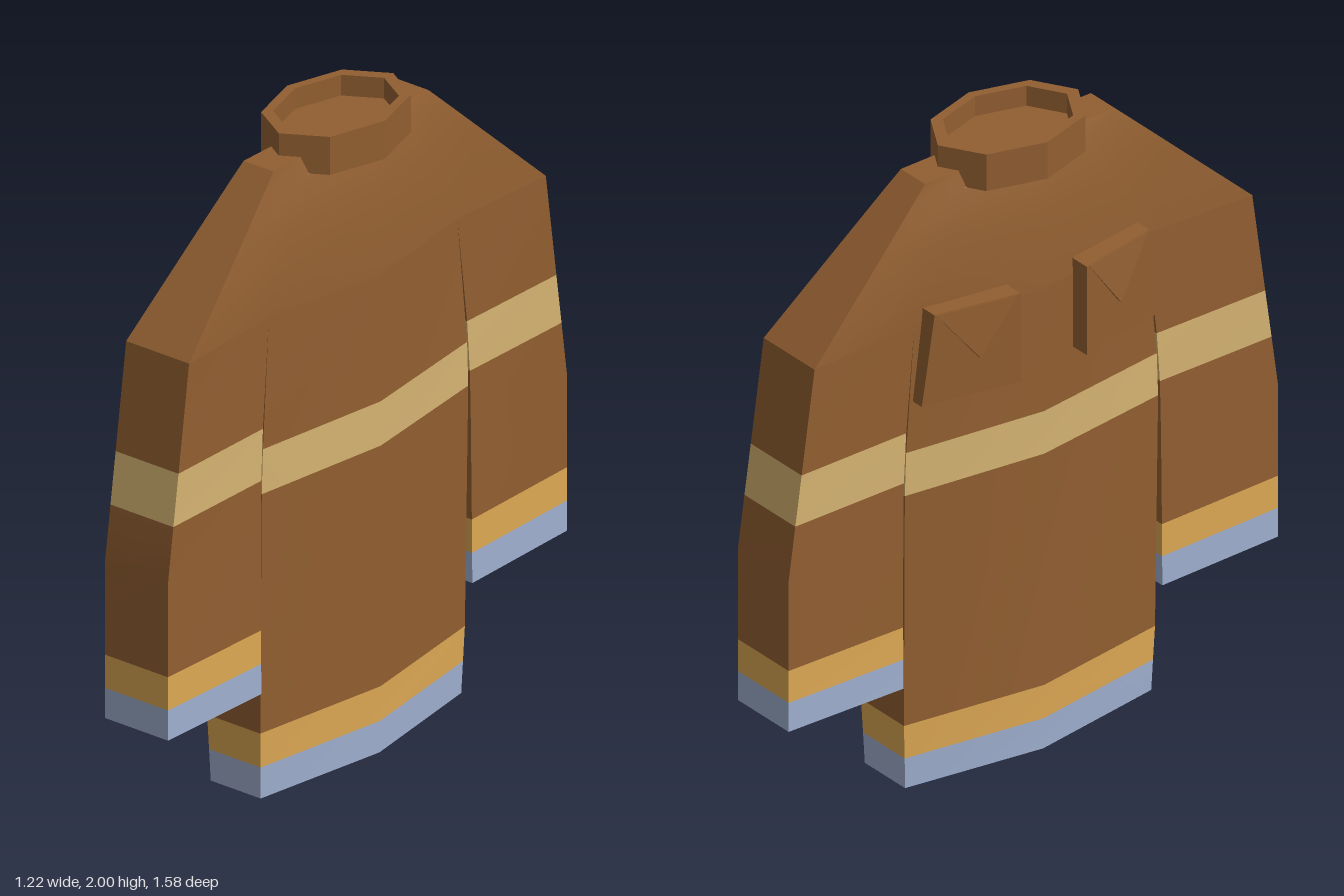
import * as THREE from 'three';
import { toCreasedNormals } from 'three/addons/utils/BufferGeometryUtils.js';

const mat = (name, color) => {
  const m = new THREE.MeshStandardMaterial({ color });
  m.name = name;
  return m;
};

// Skin a list of closed rings (counter-clockwise from above, bottom to top)
function loft(rings, capStart = false, capEnd = false) {
  const n = rings[0].length, idx = [];
  for (let r = 0; r < rings.length - 1; r++) {
    for (let i = 0; i < n; i++) {
      const a = r * n + i, b = r * n + (i + 1) % n;
      idx.push(a, b, b + n, a, b + n, a + n);
    }
  }
  const top = (rings.length - 1) * n;
  for (let i = 1; i < n - 1; i++) {
    if (capStart) idx.push(0, i + 1, i);
    if (capEnd) idx.push(top, top + i, top + i + 1);
  }
  const g = new THREE.BufferGeometry();
  g.setAttribute('position', new THREE.Float32BufferAttribute(rings.flat(2), 3));
  g.setIndex(idx);
  return toCreasedNormals(g, 0.5);
}

export function createModel() {
  const brown = mat('brown cloth', 0x925f31);
  const pale = mat('pale stripe', 0xd6b472);
  const amber = mat('amber stripe', 0xdea954);
  const blue = mat('blue trim', 0xa0b0d0);

  const model = new THREE.Group();
  model.name = 'jacket';
  const add = (parent, name, geometry, material) => {
    const m = new THREE.Mesh(geometry, material);
    m.name = name;
    parent.add(m);
    return m;
  };

  // One loft per colour, cut from consecutive rows
  const bands = [['trim', blue], ['lowerStripe', amber], ['lowerPanel', brown], ['upperStripe', pale], ['upperPanel', brown]];
  const addBands = (parent, prefix, rows, counts) => {
    let at = 0;
    bands.forEach(([label, material], i) => {
      add(parent, prefix + label, loft(rows.slice(at, at + counts[i] + 1)), material);
      at += counts[i];
    });
  };

  // Torso: six-sided sections, ridged at the middle of front and back
  const hexRing = (y, w, d, c) => [[w, y, d], [w, y, -d], [0, y, -c], [-w, y, -d], [-w, y, d], [0, y, c]];
  const torso = new THREE.Group();
  torso.name = 'torso';
  addBands(torso, 'torso ', [
    hexRing(0, 0.447, 0.092, 0.16),
    hexRing(0.1, 0.451, 0.095, 0.162),
    hexRing(0.21, 0.456, 0.098, 0.164),
    hexRing(0.97, 0.46, 0.107, 0.165),
    hexRing(1.11, 0.455, 0.107, 0.165),
    hexRing(1.51, 0.42, 0.1, 0.165),
  ], [1, 1, 1, 1, 1]);
  add(torso, 'torso lining', loft([
    hexRing(0.45, 0.4, 0.06, 0.12), hexRing(0, 0.4, 0.06, 0.12), hexRing(0, 0.447, 0.092, 0.16),
  ], true), brown);
  model.add(torso);

  // Sleeves: four-sided tubes, open at the cuff
  for (const s of [1, -1]) {
    const ring = (yo, yi, uo, ui, dOut, dIn) => {
      const p = [[s * uo, yo, dOut], [s * uo, yo, -dOut], [s * ui, yi, -dIn], [s * ui, yi, dIn]];
      return s > 0 ? p : p.reverse();
    };
    const sleeve = new THREE.Group();
    sleeve.name = s > 0 ? 'leftSleeve' : 'rightSleeve';
    const cuff = ring(0.355, 0.345, 0.889, 0.47, 0.116, 0.114);
    addBands(sleeve, 'sleeve ', [
      cuff,
      ring(0.45, 0.44, 0.889, 0.47, 0.116, 0.113),
      ring(0.555, 0.545, 0.889, 0.47, 0.116, 0.112),
      ring(0.85, 0.85, 0.889, 0.468, 0.116, 0.11),
      ring(1.02, 1.015, 0.865, 0.465, 0.116, 0.109),
      ring(1.18, 1.175, 0.842, 0.455, 0.116, 0.107),
      ring(1.51, 1.51, 0.795, 0.42, 0.116, 0.1),
    ], [1, 1, 2, 1, 1]);
    add(sleeve, 'sleeve lining', loft([
      ring(0.7, 0.7, 0.85, 0.51, 0.078, 0.076), ring(0.355, 0.345, 0.85, 0.51, 0.078, 0.076), cuff,
    ], true), brown);
    model.add(sleeve);
  }

  // Yoke: joins torso and sleeves, narrowing to the shoulder ridge
  const yokeRing = (y, w, d, m, dm, c) => [
    [w, y, d], [w, y, -d], [m, y, -dm], [0, y, -c], [-m, y, -dm],
    [-w, y, -d], [-w, y, d], [-m, y, dm], [0, y, c], [m, y, dm],
  ];
  add(model, 'yoke', loft([
    yokeRing(1.51, 0.795, 0.116, 0.42, 0.1, 0.165),
    yokeRing(1.75, 0.538, 0.082, 0.3, 0.098, 0.155),
    yokeRing(1.88, 0.399, 0.063, 0.22, 0.075, 0.13),
    yokeRing(1.93, 0.345, 0.055, 0.2, 0.055, 0.06),
  ], false, true), brown);

  // Collar: eight-sided ring with a shallow recess
  const profile = [[0, 1.88], [1, 1.88], [1, 2], [0.84, 2], [0.84, 1.935], [0, 1.935]];
  const collar = new THREE.LatheGeometry(profile.map(([x, y]) => new THREE.Vector2(x, y)), 8);
  collar.scale(0.255, 1, 0.18);
  add(model, 'collar', toCreasedNormals(collar, 0.3), brown);

  // Chest pockets: slabs that follow the slope of the chest, with pointed flaps
  const slab = (points, depth, lift) => {
    const shape = new THREE.Shape(points.map(([x, y]) => new THREE.Vector2(x, y)));
    const g = new THREE.ExtrudeGeometry(shape, { depth, bevelEnabled: false });
    const p = g.attributes.position;
    for (let i = 0; i < p.count; i++) {
      const front = p.getZ(i) < 0.001;
      const slope = 0.207 - 0.2 * (Math.abs(p.getX(i)) - 0.13);
      p.setZ(i, p.getZ(i) - slope - (front ? lift(p.getY(i)) : 0));
    }
    g.computeVertexNormals();
    return g;
  };
  for (const s of [1, -1]) {
    const pocket = new THREE.Group();
    pocket.name = s > 0 ? 'leftPocket' : 'rightPocket';
    add(pocket, 'pocket bag', slab(
      [[s * 0.12, 1.27], [s * 0.43, 1.27], [s * 0.39, 1.56], [s * 0.12, 1.56]], 0.1, () => 0), brown);
    add(pocket, 'pocket flap', slab(
      [[s * 0.13, 1.558], [s * 0.385, 1.558], [s * 0.255, 1.39]], 0.02, (y) => (y < 1.4 ? 0.014 : 0.002)), brown);
    model.add(pocket);
  }

  model.rotation.y = THREE.MathUtils.degToRad(54.5);
  const root = new THREE.Group();
  root.name = 'jacketRoot';
  root.add(model);
  return root;
}
